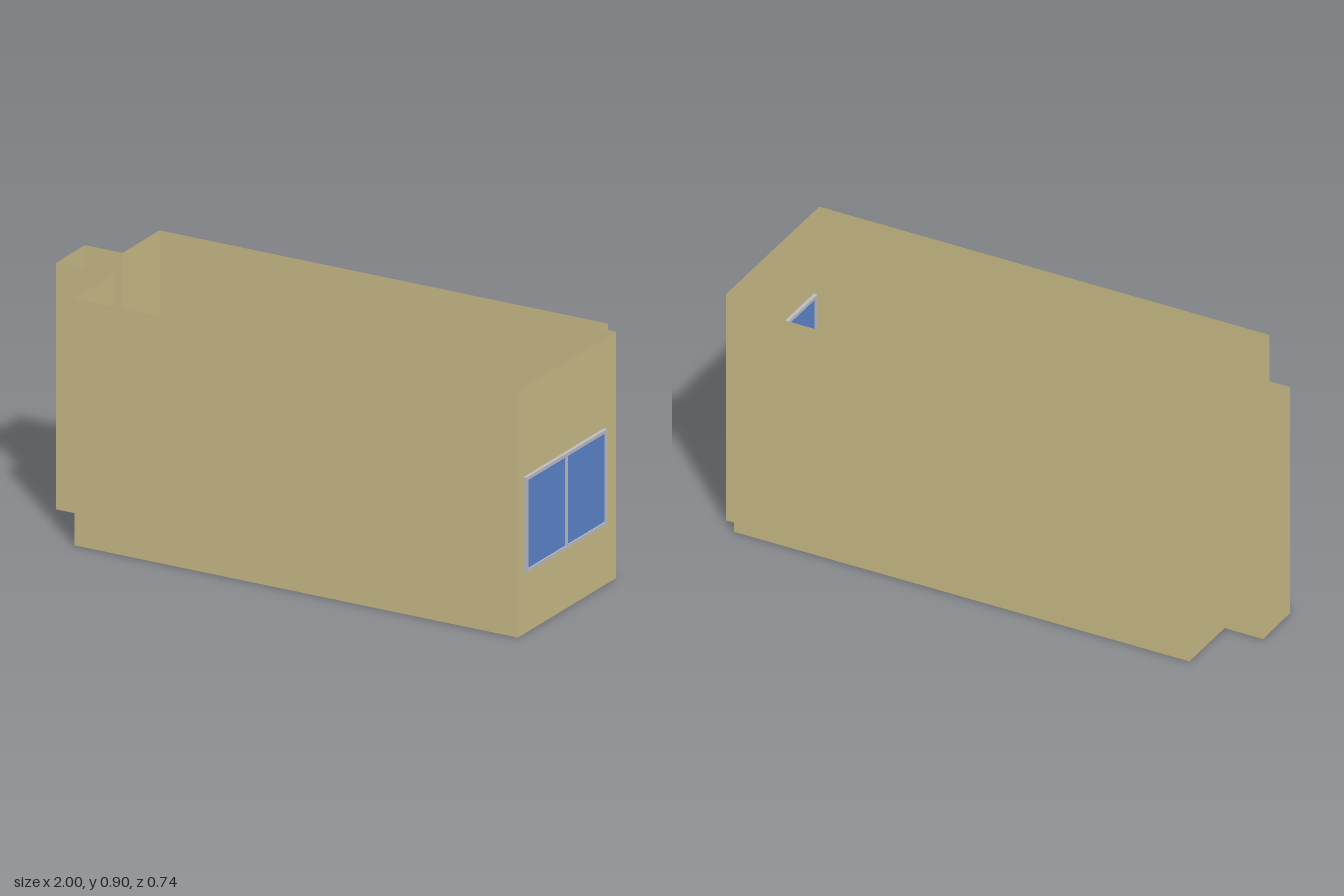
import * as THREE from 'three';

const HEIGHT = 0.9;
const TILT = 0.011; // slight skew of the room plan

// Room plan as [x, z] corners, counter-clockwise seen from above
const PLAN = [
  [-1, 0.075], [-0.772, 0.077], [-0.775, 0.345], [0.98, 0.367], [0.987, -0.295],
  [0.925, -0.296], [0.926, -0.349], [-0.848, -0.37], [-0.85, -0.119], [-1, -0.121],
];

function rectPath(Type, x0, y0, x1, y1) {
  const p = new Type();
  p.moveTo(x0, y0);
  p.lineTo(x1, y0);
  p.lineTo(x1, y1);
  p.lineTo(x0, y1);
  p.closePath();
  return p;
}

// One thin upright panel per edge of the plan
function wallGeometry(plan, h) {
  const pos = [];
  plan.forEach(([ax, az], i) => {
    const [bx, bz] = plan[(i + 1) % plan.length];
    pos.push(ax, 0, az, bx, 0, bz, bx, h, bz, ax, 0, az, bx, h, bz, ax, h, az);
  });
  const g = new THREE.BufferGeometry();
  g.setAttribute('position', new THREE.Float32BufferAttribute(pos, 3));
  g.computeVertexNormals();
  return g;
}

export function createModel() {
  const model = new THREE.Group();
  model.name = 'room';

  const wallPaint = new THREE.MeshStandardMaterial({ color: 0xc9ba87, side: THREE.DoubleSide });
  wallPaint.name = 'tanWall';
  const floorPaint = new THREE.MeshStandardMaterial({ color: 0xaa917a, side: THREE.DoubleSide });
  floorPaint.name = 'brownFloor';
  const framePaint = new THREE.MeshStandardMaterial({ color: 0xbcbcc0 });
  framePaint.name = 'greyFrame';
  const glassPaint = new THREE.MeshStandardMaterial({ color: 0x5c84cc });
  glassPaint.name = 'blueGlass';

  const add = (parent, name, geometry, material) => {
    const mesh = new THREE.Mesh(geometry, material);
    mesh.name = name;
    parent.add(mesh);
    return mesh;
  };

  // Open-topped shell
  add(model, 'walls', wallGeometry(PLAN, HEIGHT), wallPaint);
  const floorShape = new THREE.Shape(PLAN.map(([x, z]) => new THREE.Vector2(x, -z)));
  add(model, 'floor', new THREE.ShapeGeometry(floorShape).rotateX(-Math.PI / 2), floorPaint);

  // Two-pane window set through the end wall, seen from both sides
  const win = new THREE.Group();
  win.name = 'window';
  win.position.set(0.983, 0.4, 0.0575);
  win.rotation.y = Math.PI / 2 - TILT;
  model.add(win);

  const W = 0.272, H = 0.174, RIM = 0.012, BAR = 0.006, DEPTH = 0.027;
  const frame = rectPath(THREE.Shape, -W, -H, W, H);
  for (const side of [-1, 1]) {
    const a = side * BAR, b = side * (W - RIM);
    frame.holes.push(rectPath(THREE.Path, Math.min(a, b), -H + RIM, Math.max(a, b), H - RIM));
    const pane = add(win, side < 0 ? 'leftPane' : 'rightPane',
      new THREE.BoxGeometry(W - RIM - BAR, 2 * (H - RIM), 0.018), glassPaint);
    pane.position.x = (a + b) / 2;
  }
  const frameGeo = new THREE.ExtrudeGeometry(frame, { depth: DEPTH, bevelEnabled: false });
  add(win, 'windowFrame', frameGeo.translate(0, 0, -DEPTH / 2), framePaint);

  return model;
}
